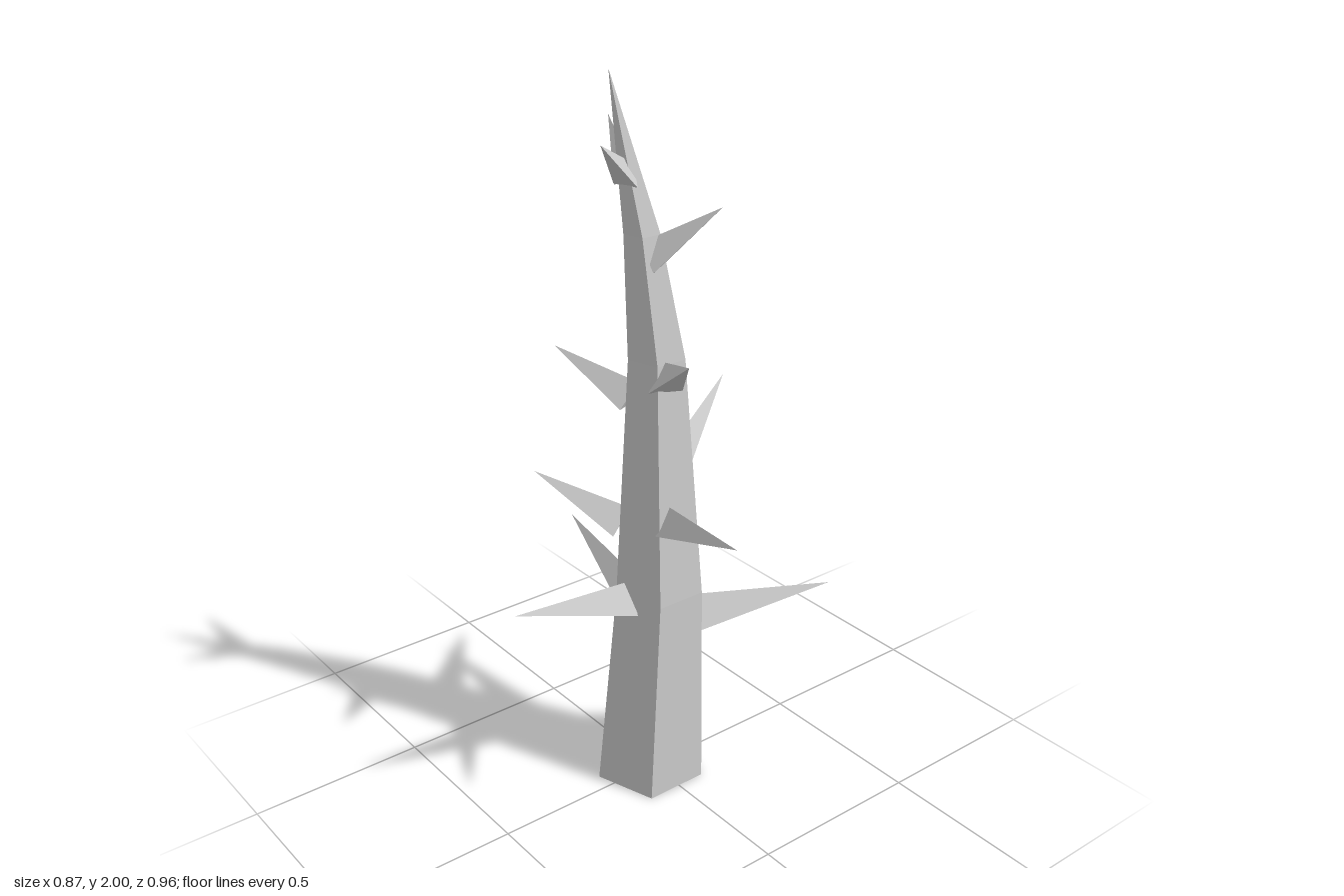
import * as THREE from 'three';

const material = new THREE.MeshStandardMaterial({ color: 0xcccccc, flatShading: true });

// Trunk rings from ground to tip: [y, centre x, centre z, radius]
const rings = [
  [0, -0.008, -0.003, 0.154],
  [0.6, 0.01, 0.014, 0.122],
  [1.27, 0.01, 0.003, 0.077],
  [1.6, -0.024, -0.012, 0.048],
  [2, -0.095, -0.045, 0.0005],
];

// Spikes: [base centre, tip, base radius]
const spikes = [
  [[0.03, 0.49, -0.07], [0.07, 0.6, -0.478], 0.066],
  [[0.09, 0.5, 0.05], [0.435, 0.565, 0.243], 0.062],
  [[-0.08, 0.585, 0], [-0.435, 0.655, -0.018], 0.056],
  [[-0.06, 0.79, -0.06], [-0.215, 0.92, -0.24], 0.052],
  [[-0.015, 0.83, 0.09], [-0.12, 0.955, 0.478], 0.05],
  [[0.075, 0.93, -0.02], [0.35, 1.095, -0.127], 0.052],
  [[-0.03, 1.15, -0.05], [-0.12, 1.25, -0.265], 0.05],
  [[-0.005, 1.22, 0.055], [-0.11, 1.355, 0.28], 0.052],
  [[-0.01, 1.535, 0.015], [0.085, 1.685, 0.165], 0.052],
  [[-0.058, 1.74, -0.02], [-0.17, 1.845, 0.02], 0.04],
  [[-0.045, 1.735, -0.035], [0, 1.86, -0.178], 0.04],
];

// Five-sided trunk, each row of vertices moved onto its ring
function makeTrunk() {
  const steps = rings.length - 1;
  const geometry = new THREE.CylinderGeometry(1, 1, steps, 5, steps, false, Math.PI);
  const pos = geometry.attributes.position;
  for (let i = 0; i < pos.count; i++) {
    const [y, cx, cz, r] = rings[Math.round(pos.getY(i) + steps / 2)];
    pos.setXYZ(i, cx + pos.getX(i) * r, y, cz + pos.getZ(i) * r);
  }
  geometry.computeVertexNormals();
  const trunk = new THREE.Mesh(geometry, material);
  trunk.name = 'trunk';
  return trunk;
}

// Three-sided spike with one ridge on top, pointing from base to tip
function makeSpike([base, tip, radius]) {
  const from = new THREE.Vector3(...base);
  const to = new THREE.Vector3(...tip);
  const length = from.distanceTo(to);
  const geometry = new THREE.ConeGeometry(radius, length, 3, 1, false, Math.PI);
  geometry.translate(0, length / 2, 0).rotateX(Math.PI / 2);
  const spike = new THREE.Mesh(geometry, material);
  spike.position.copy(from);
  spike.lookAt(to);
  return spike;
}

export function createModel() {
  const model = new THREE.Group();
  model.name = 'thornyTrunk';
  model.add(makeTrunk());
  spikes.forEach((data, i) => {
    const spike = makeSpike(data);
    spike.name = `branchSpike${i + 1}`;
    model.add(spike);
  });
  return model;
}
